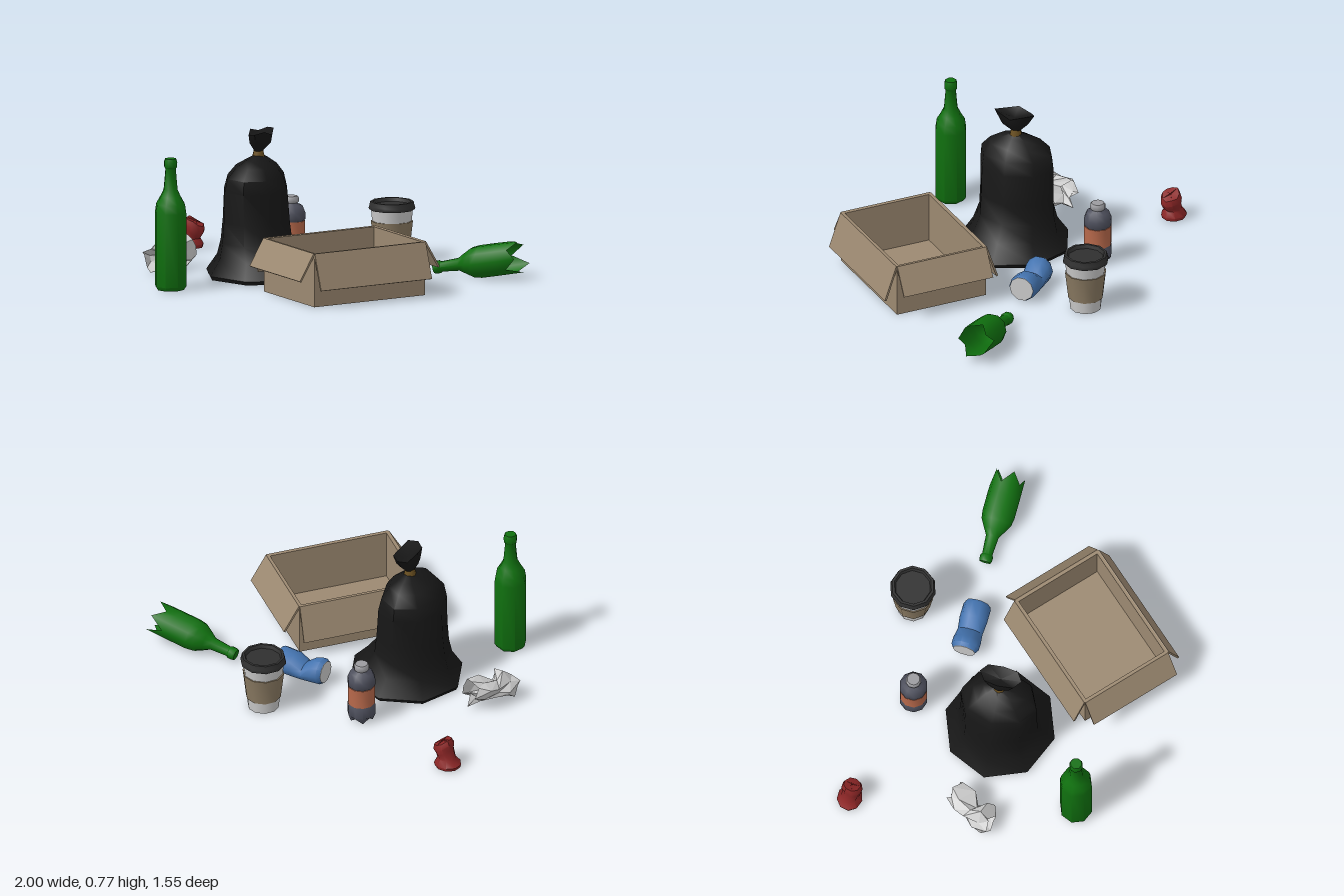
import * as THREE from 'three';
import { toCreasedNormals } from 'three/addons/utils/BufferGeometryUtils.js';

const mat = (color, extra = {}) => new THREE.MeshStandardMaterial({ color, side: THREE.DoubleSide, ...extra });
const GREEN = mat(0x10700f), BLACK = mat(0x171717), CARD = mat(0x9c8971), GREY = mat(0xcccccc);
const DARK = mat(0x303030), SLEEVE = mat(0x8a7a62), PLASTIC = mat(0x4d4f5c), LABEL = mat(0xb8694b);
const BLUE = mat(0x4474b0), RED = mat(0x8c2626), TIE = mat(0x6b5020), CAP = mat(0x9c9ca0);

function part(name, geo, material, parent) {
  const m = new THREE.Mesh(toCreasedNormals(geo, 0.9), material);
  m.name = name;
  parent.add(m);
  return m;
}

function group(name, parent, x = 0, y = 0, z = 0) {
  const g = new THREE.Group();
  g.name = name;
  g.position.set(x, y, z);
  parent.add(g);
  return g;
}

const lathe = (pts, sides) => new THREE.LatheGeometry(pts.map(p => new THREE.Vector2(...p)), sides);

// Elliptical cross-sections [x, y, z, rx, rz], joined bottom to top; warp(p, ring, side) may move each point
function loft(rings, sides, warp) {
  const pos = [], idx = [];
  rings.forEach(([x, y, z, rx, rz], r) => {
    for (let s = 0; s < sides; s++) {
      const a = (s / sides) * Math.PI * 2;
      const p = new THREE.Vector3(x + Math.sin(a) * rx, y, z + Math.cos(a) * rz);
      if (warp) warp(p, r, s);
      pos.push(p.x, p.y, p.z);
      if (r) {
        const a0 = (r - 1) * sides + s, b0 = (r - 1) * sides + (s + 1) % sides;
        idx.push(a0, b0, a0 + sides, b0, b0 + sides, a0 + sides);
      }
    }
  });
  const g = new THREE.BufferGeometry();
  g.setAttribute('position', new THREE.Float32BufferAttribute(pos, 3));
  g.setIndex(idx);
  return g;
}

// Tied rubbish sack with a slumped foot and a fanned top
function addBag(root) {
  const bag = group('rubbishBag', root);
  part('bagBody', loft([
    [-0.325, 0.025, -0.043, 0, 0], [-0.325, 0.025, -0.043, 0.295, 0.283], [-0.325, 0.045, -0.043, 0.305, 0.293],
    [-0.335, 0.13, -0.04, 0.235, 0.235], [-0.355, 0.21, -0.04, 0.195, 0.21], [-0.357, 0.32, -0.04, 0.182, 0.205],
    [-0.36, 0.48, -0.04, 0.172, 0.205], [-0.36, 0.55, -0.038, 0.152, 0.197], [-0.355, 0.605, -0.035, 0.11, 0.145],
    [-0.35, 0.64, -0.035, 0.055, 0.09], [-0.345, 0.66, -0.04, 0.024, 0.03], [-0.345, 0.69, -0.04, 0.02, 0.025],
  ], 8), BLACK, bag);
  part('bagTie', new THREE.CylinderGeometry(0.024, 0.034, 0.045, 8).translate(-0.345, 0.672, -0.04), TIE, bag);
  const lift = [0, 0.012, -0.015, 0.008, 0.004, -0.01, 0.01, -0.008];
  part('bagTop', loft([
    [-0.345, 0.68, -0.04, 0.02, 0.025], [-0.335, 0.73, -0.038, 0.058, 0.075],
    [-0.33, 0.785, -0.038, 0.06, 0.112], [-0.335, 0.755, -0.038, 0, 0],
  ], 8, (p, r, s) => { if (r === 2) p.y += lift[s]; }), BLACK, bag);
}

// Open carton with four hanging flaps
function addBox(root) {
  const box = group('cardboardBox', root, 0.23, 0, 0.29);
  box.rotation.y = 0.85;
  const L = 0.666, W = 0.51, T = 0.014, top = 0.305, base = 0.025;
  part('boxFloor', new THREE.BoxGeometry(L, T, W).translate(0, base + T / 2, 0), CARD, box);
  for (let k = 0; k < 4; k++) {
    const long = k % 2 === 0;
    const width = long ? L : W, d = (long ? W : L) / 2;
    const [drop, out] = long ? [0.185, 0.065] : [0.14, 0.083];
    const len = Math.hypot(drop, out);
    const side = group('boxSide', box);
    side.rotation.y = k * Math.PI / 2;
    part('boxWall', new THREE.BoxGeometry(width, top - base, T).translate(0, (top + base) / 2, d - T / 2), CARD, side);
    const flap = part('boxFlap', new THREE.BoxGeometry(width, len, 0.01).translate(0, -len / 2, 0), CARD, side);
    flap.position.set(0, top, d);
    flap.rotation.x = -Math.atan2(out, drop);
  }
}

function addGlassBottles(root) {
  part('uprightBottle', lathe([
    [0, 0.025], [0.072, 0.025], [0.085, 0.045], [0.085, 0.43], [0.078, 0.475], [0.055, 0.515], [0.038, 0.55],
    [0.028, 0.66], [0.035, 0.668], [0.036, 0.695], [0.03, 0.712], [0, 0.712],
  ], 8), GREEN, root).position.set(-0.66, 0, 0.46);

  // Lying bottle, neck first, ending in a jagged break
  const profile = [[0, 0], [0.03, 0], [0.034, 0.012], [0.034, 0.035], [0.027, 0.042], [0.034, 0.14],
    [0.055, 0.175], [0.08, 0.22], [0.086, 0.26], [0.086, 0.36], [0.085, 0.46]];
  const shards = [0.01, -0.05, 0.03, -0.02, 0.035, -0.06, 0.02, -0.04, 0.025, -0.03];
  const geo = loft(profile.map(([r, y]) => [0, y, 0, r, r]), 10,
    (p, r, s) => { if (r === profile.length - 1) p.y += shards[s]; });
  const broken = part('brokenBottle', geo, GREEN, root);
  broken.position.set(0.505, 0.06, -0.36);
  broken.rotation.z = -Math.PI / 2 + 0.18;
}

function addCup(root) {
  const cup = group('coffeeCup', root, 0.18, 0, -0.655);
  part('cupBody', lathe([[0, 0.035], [0.074, 0.035], [0.076, 0.025], [0.081, 0.025], [0.109, 0.3], [0, 0.3]], 10), GREY, cup);
  part('cupSleeve', lathe([[0.087, 0.09], [0.092, 0.09], [0.109, 0.235], [0.102, 0.235]], 10), SLEEVE, cup);
  part('cupLid', lathe([
    [0, 0.295], [0.118, 0.295], [0.121, 0.303], [0.117, 0.315], [0.112, 0.337],
    [0.099, 0.337], [0.092, 0.318], [0, 0.318],
  ], 10), DARK, cup);
}

function addDrinkBottle(root) {
  const b = group('drinkBottle', root, -0.32, 0, -0.51);
  const rings = [[0, 0.05], [0.04, 0.03], [0.06, 0.025], [0.073, 0.06], [0.073, 0.12], [0.068, 0.127], [0.068, 0.233],
    [0.073, 0.24], [0.073, 0.275], [0.058, 0.312], [0.03, 0.325], [0.025, 0.335], [0, 0.335]];
  // Lobed foot
  part('bottleBody', loft(rings.map(([r, y]) => [0, y, 0, r, r]), 10,
    (p, r, s) => { if ((r === 1 || r === 2) && s % 2) p.y += 0.025; }), PLASTIC, b);
  part('bottleLabel', lathe([[0.068, 0.127], [0.072, 0.127], [0.072, 0.233], [0.068, 0.233]], 10), LABEL, b);
  part('bottleCap', lathe([[0, 0.327], [0.036, 0.327], [0.04, 0.334], [0.04, 0.352], [0.033, 0.362], [0, 0.362]], 10), CAP, b);
}

function addCans(root) {
  // Dented can lying along x
  const can = group('dentedCan', root, -0.005, 0.1, -0.328);
  can.rotation.z = -Math.PI / 2;
  part('canBody', loft([
    [0, 0, 0, 0.06, 0.06], [0, 0.02, 0, 0.073, 0.073], [0.005, 0.06, 0, 0.068, 0.073], [0.024, 0.115, 0, 0.046, 0.066],
    [0.005, 0.175, 0, 0.068, 0.073], [0, 0.25, 0, 0.073, 0.073], [0, 0.263, 0, 0.066, 0.066],
  ], 10), BLUE, can);
  for (const [y, r] of [[0.002, 0.06], [0.261, 0.066]])
    part('canEnd', new THREE.CylinderGeometry(r, r, 0.008, 10).translate(0, y, 0), GREY, can);

  // Crushed can standing on its base, its top folded over
  part('crushedCan', loft([
    [-0.925, 0.03, -0.68, 0, 0], [-0.925, 0.027, -0.68, 0.068, 0.062], [-0.925, 0.045, -0.68, 0.073, 0.067],
    [-0.92, 0.075, -0.68, 0.05, 0.045], [-0.908, 0.1, -0.675, 0.044, 0.05], [-0.9, 0.135, -0.675, 0.054, 0.056],
    [-0.895, 0.165, -0.675, 0.045, 0.045], [-0.895, 0.168, -0.675, 0, 0],
  ], 9, (p, r, s) => { if (r > 3) p.y += (p.x + 0.9) * -0.5 + (s % 3 === 0 ? 0.008 : 0); }), RED, root);
}

// Crumpled paper: an open, creased tube
function addPaper(root) {
  let seed = 7;
  const rnd = () => (seed = (seed * 16807) % 2147483647) / 2147483647 - 0.5;
  const rings = [[0, 0, 0, 0.07, 0.055], [0.01, 0.06, 0.01, 0.085, 0.07], [-0.01, 0.12, -0.01, 0.06, 0.05],
    [0.01, 0.19, 0, 0.085, 0.07], [0, 0.25, 0.01, 0.06, 0.06]];
  const paper = new THREE.Mesh(loft(rings, 9, p => {
    p.x += rnd() * 0.04; p.y += rnd() * 0.05; p.z += rnd() * 0.04;
  }), mat(0xcccccc, { flatShading: true }));
  paper.name = 'crumpledPaper';
  paper.position.set(-0.895, 0.095, 0.06);
  paper.quaternion.setFromUnitVectors(new THREE.Vector3(0, 1, 0), new THREE.Vector3(0.5, 0.08, -0.86).normalize());
  root.add(paper);
}

export function createModel() {
  const root = new THREE.Group();
  root.name = 'litter';
  [addBag, addBox, addGlassBottles, addCup, addDrinkBottle, addCans, addPaper].forEach(add => add(root));
  return root;
}
